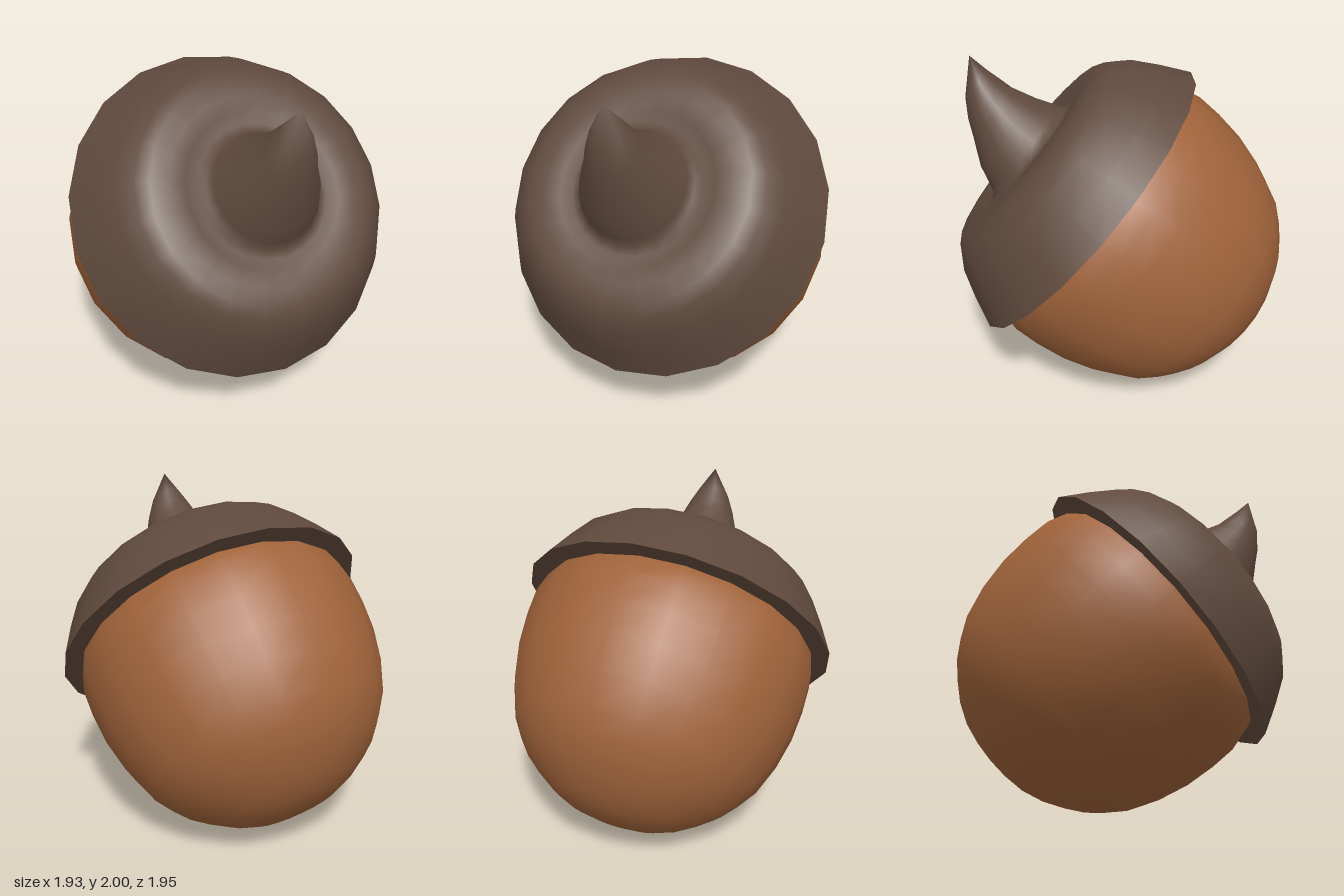
import * as THREE from 'three';
import { mergeVertices } from 'three/addons/utils/BufferGeometryUtils.js';

const SIDES = 20;

// Skin a stack of circles, bottom to top: [height, radius, forward shift]
function loft(rings) {
  const positions = [], index = [];
  rings.forEach(([y, r, shift = 0], i) => {
    for (let j = 0; j < SIDES; j++) {
      const a = (j / SIDES) * Math.PI * 2;
      positions.push(Math.sin(a) * r, y, Math.cos(a) * r + shift);
      if (i === rings.length - 1) continue;
      const k = (j + 1) % SIDES;
      const p = i * SIDES + j, q = i * SIDES + k;
      if (r > 0) index.push(p, q, q + SIDES);
      if (rings[i + 1][1] > 0) index.push(p, q + SIDES, p + SIDES);
    }
  });
  const raw = new THREE.BufferGeometry();
  raw.setAttribute('position', new THREE.Float32BufferAttribute(positions, 3));
  raw.setIndex(index);
  const geometry = mergeVertices(raw, 1e-5);
  geometry.computeVertexNormals();
  return geometry;
}

export function createModel() {
  const nutBrown = new THREE.MeshStandardMaterial({ color: 0xa0633a });
  nutBrown.name = 'nutBrown';
  const capBrown = new THREE.MeshStandardMaterial({ color: 0x604a3d });
  capBrown.name = 'capBrown';

  const acorn = new THREE.Group();
  acorn.name = 'acorn';
  const add = (name, geometry, material) => {
    const mesh = new THREE.Mesh(geometry, material);
    mesh.name = name;
    acorn.add(mesh);
    return mesh;
  };

  // Rounded nut, its top tucked into the cap
  add('nut', loft([
    [-1.28, 0], [-1.273, 0.125], [-1.25, 0.255], [-1.2, 0.38], [-1.128, 0.495],
    [-1.055, 0.59], [-0.97, 0.665], [-0.86, 0.745], [-0.68, 0.82], [-0.49, 0.868],
    [-0.3, 0.888], [-0.14, 0.89], [-0.02, 0.86], [0.1, 0.78],
  ]), nutBrown);

  // Cap with a rolled lip and a shallow dip that flows into the bent stem
  add('capAndStem', loft([
    [0, 0.965], [0.17, 0.878], [0.32, 0.79], [0.4, 0.71], [0.442, 0.64],
    [0.456, 0.54], [0.447, 0.45], [0.43, 0.38], [0.44, 0.335],
    [0.49, 0.308, -0.003], [0.6, 0.26, -0.008], [0.75, 0.18, -0.05],
    [0.83, 0.148, -0.08], [0.92, 0.1, -0.125], [1.046, 0, -0.233],
  ]), capBrown);

  // Flat underside of the cap rim
  const underside = add('capUnderside', new THREE.RingGeometry(0.8, 0.965, SIDES), capBrown);
  underside.rotation.x = Math.PI / 2;

  // Tip the whole acorn forward
  acorn.rotation.x = THREE.MathUtils.degToRad(49.2);
  acorn.position.set(0, 1.14, 0.2);

  const model = new THREE.Group();
  model.name = 'tiltedAcorn';
  model.add(acorn);
  return model;
}
